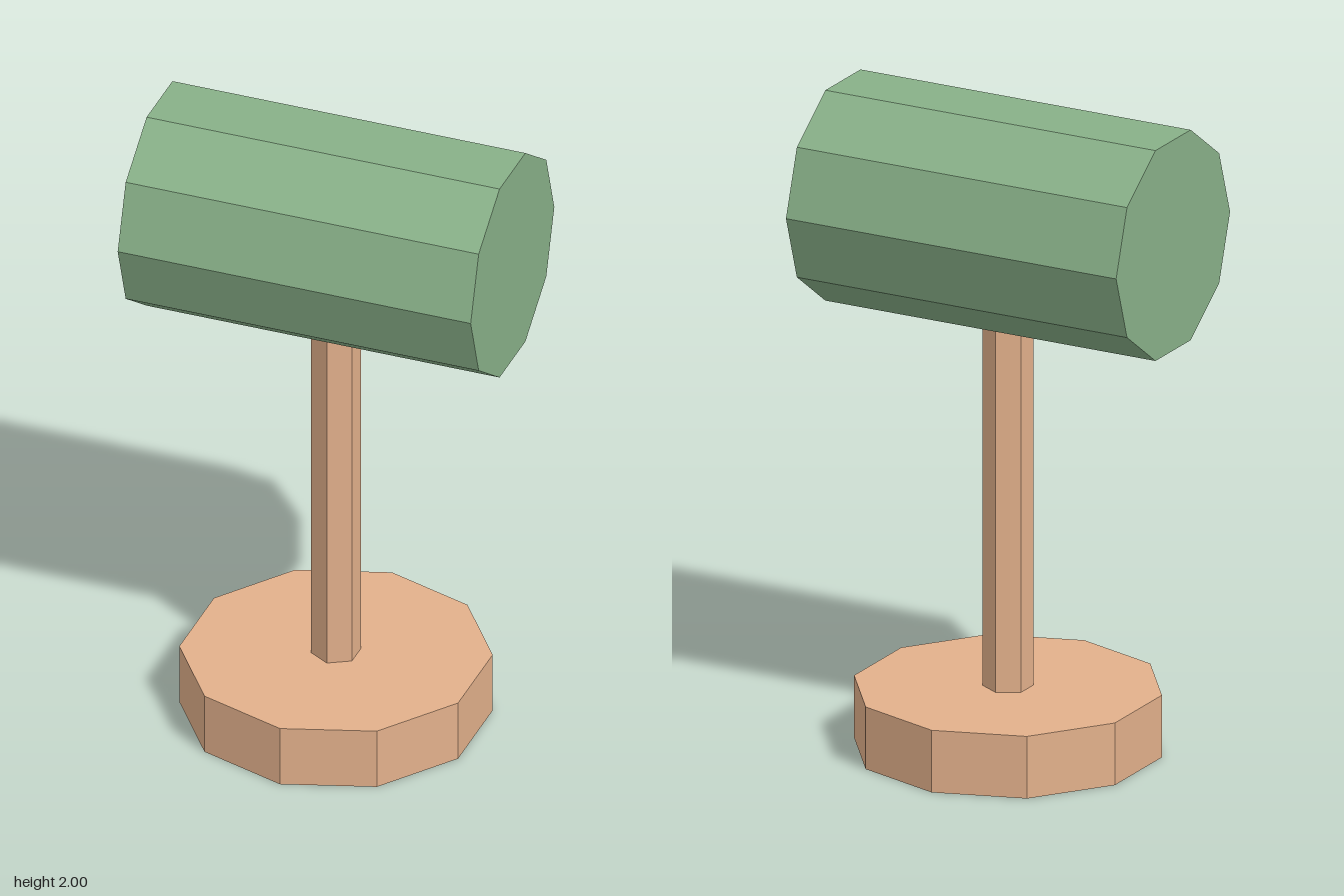
import * as THREE from 'three';

export function createModel() {
  const model = new THREE.Group();
  model.name = 'mallet';

  const wood = new THREE.MeshStandardMaterial({ name: 'tan wood', color: 0xe2b08b, flatShading: true });
  const green = new THREE.MeshStandardMaterial({ name: 'sage green', color: 0x88b088, flatShading: true });

  // Straight prism standing on y = bottom, with one corner towards +z
  function prism(name, radius, height, sides, material, bottom) {
    const mesh = new THREE.Mesh(new THREE.CylinderGeometry(radius, radius, height, sides), material);
    mesh.name = name;
    mesh.position.y = bottom + height / 2;
    model.add(mesh);
    return mesh;
  }

  // Round foot and slim hexagonal handle, whose top sits inside the head
  prism('base', 0.465, 0.195, 10, wood, 0);
  prism('handle', 0.075, 1.18, 6, wood, 0.18);

  // Ten-sided head lying along x
  const head = prism('head', 0.347, 1.12, 10, green, 0);
  head.rotation.z = Math.PI / 2;
  head.position.y = 1.67;

  return model;
}
